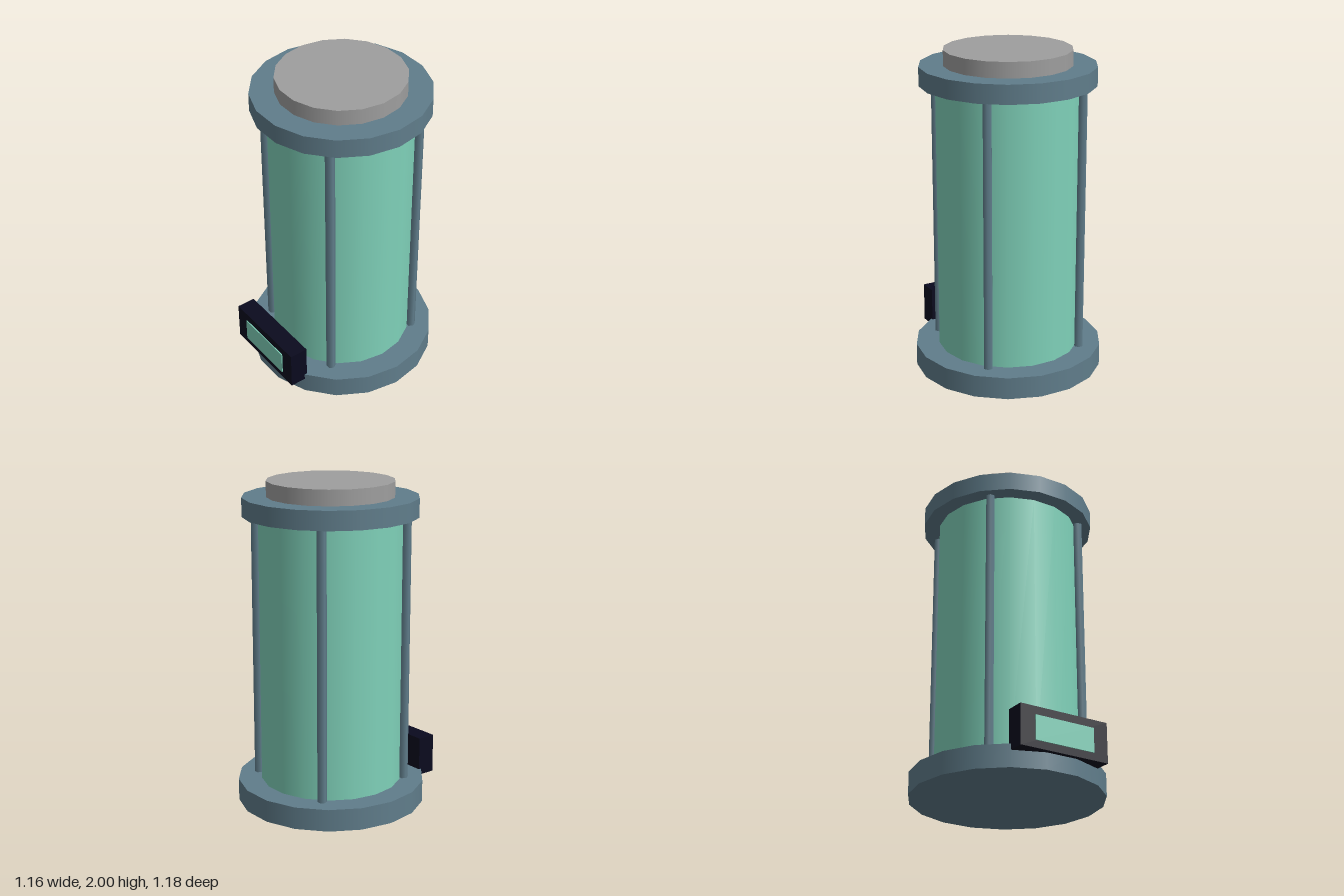
import * as THREE from 'three';

const material = (name, color) => {
  const m = new THREE.MeshStandardMaterial({ color });
  m.name = name;
  return m;
};

export function createModel() {
  const steel = material('blue grey steel', 0x607d8b);
  const silver = material('grey cap', 0x9e9e9e);
  const fluid = material('mint green', 0x7fd1b9);
  const dark = material('dark navy', 0x0a0a1e);

  const group = new THREE.Group();
  const axisZ = -0.018; // the tank sits slightly behind centre

  const add = (name, geometry, mat, x, y, z) => {
    const mesh = new THREE.Mesh(geometry, mat);
    mesh.name = name;
    mesh.position.set(x, y, z);
    group.add(mesh);
    return mesh;
  };

  // Upright cylinder between two heights, with a corner on the x axis
  const upright = (name, radius, y0, y1, sides, mat, x = 0, z = 0) => {
    const geometry = new THREE.CylinderGeometry(radius, radius, y1 - y0, sides);
    geometry.rotateY(Math.PI / 2);
    return add(name, geometry, mat, x, (y0 + y1) / 2, axisZ + z);
  };

  // Tank body
  upright('base', 0.581, 0, 0.137, 18, steel);
  upright('tank', 0.436, 0.137, 1.79, 18, fluid);
  upright('topRing', 0.533, 1.79, 1.905, 18, steel);
  upright('cap', 0.387, 1.905, 2, 18, silver);

  // Four support rods
  for (const sx of [-1, 1]) {
    for (const sz of [-1, 1]) {
      upright('supportRod', 0.029, 0.137, 1.79, 6, steel, sx * 0.322, sz * 0.322);
    }
  }

  // Control panel with a thin lit screen
  add('controlPanel', new THREE.BoxGeometry(0.581, 0.244, 0.116), dark, 0, 0.222, 0.526);
  add('screen', new THREE.BoxGeometry(0.39, 0.148, 0.009), fluid, 0, 0.219, 0.5855);

  return group;
}
